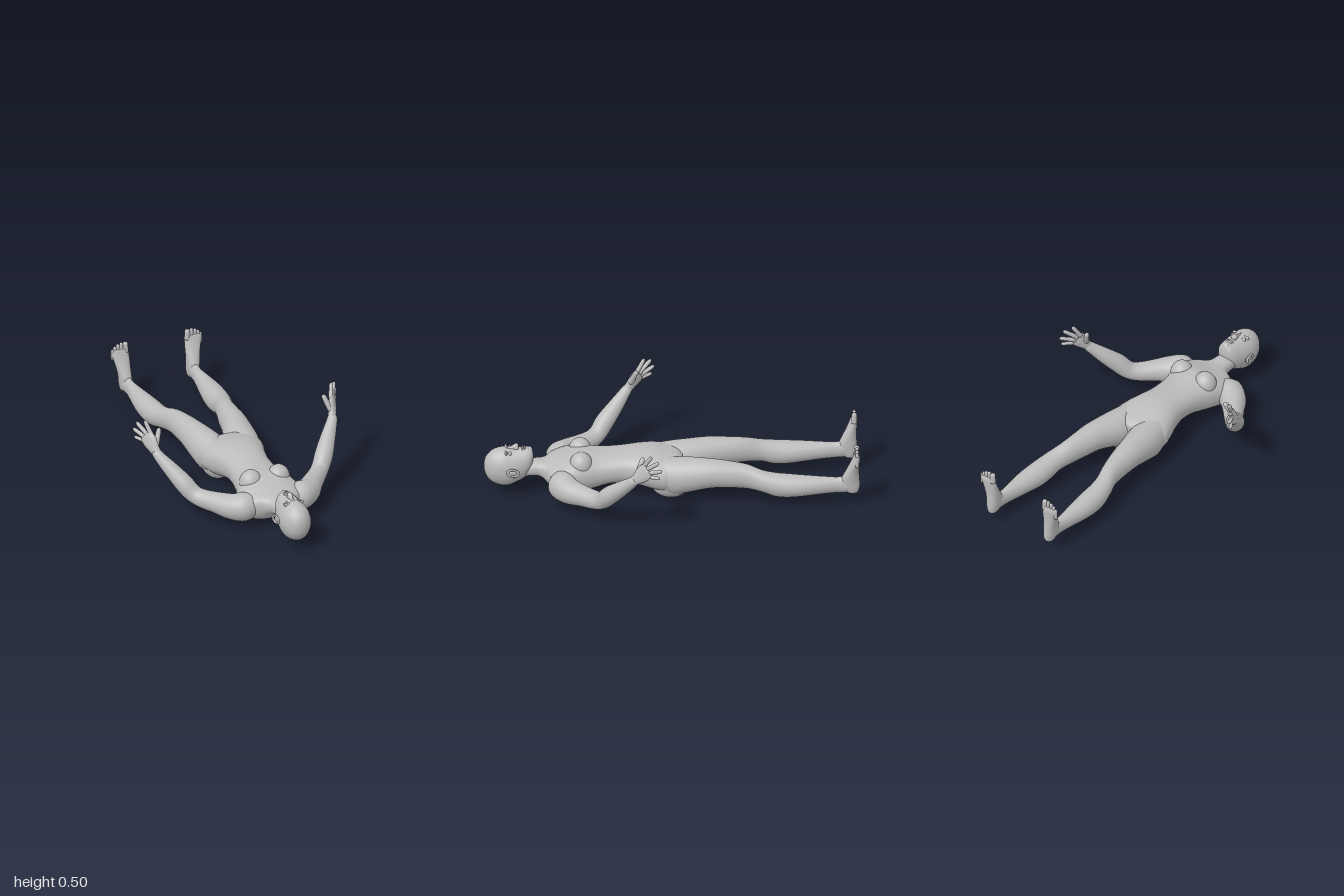
import * as THREE from 'three';

const V = (x, y, z) => new THREE.Vector3(x, y, z);

// Catmull-Rom resampling of rows of numbers
function resample(rows, steps) {
  const out = [];
  const at = (i) => rows[Math.min(rows.length - 1, Math.max(0, i))];
  for (let i = 0; i < rows.length - 1; i++) {
    for (let k = 0; k < steps; k++) {
      const t = k / steps;
      out.push(rows[i].map((_, c) => {
        const [a, b, d, e] = [at(i - 1)[c], at(i)[c], at(i + 1)[c], at(i + 2)[c]];
        return 0.5 * (2 * b + (d - a) * t + (2 * a - 5 * b + 4 * d - e) * t * t + (3 * b - a - 3 * d + e) * t * t * t);
      }));
    }
  }
  out.push(rows[rows.length - 1]);
  return out;
}

// Closed smooth skin through elliptical rings; row = centre, u axis, v axis (9 numbers)
function loft(rows, seg = 28, steps = 4, power = 1) {
  const rings = resample(rows, steps);
  const pos = [], idx = [];
  const bend = (n) => Math.sign(n) * Math.abs(n) ** power;
  for (const r of rings) {
    for (let j = 0; j < seg; j++) {
      const a = (j / seg) * Math.PI * 2, c = bend(Math.cos(a)), s = bend(Math.sin(a));
      for (let k = 0; k < 3; k++) pos.push(r[k] + r[3 + k] * c + r[6 + k] * s);
    }
  }
  const m = rows[rows.length >> 1], p = rows[(rows.length >> 1) - 1];
  const dir = V(m[0] - p[0], m[1] - p[1], m[2] - p[2]);
  const flip = V(m[3], m[4], m[5]).cross(V(m[6], m[7], m[8])).dot(dir) < 0;
  const tri = (a, b, c) => (flip ? idx.push(a, c, b) : idx.push(a, b, c));
  const last = rings.length - 1, start = rings.length * seg;
  for (let i = 0; i < last; i++) {
    for (let j = 0; j < seg; j++) {
      const a = i * seg + j, b = i * seg + ((j + 1) % seg);
      tri(a, b, a + seg);
      tri(b, b + seg, a + seg);
    }
  }
  pos.push(...rings[0].slice(0, 3), ...rings[last].slice(0, 3));
  for (let j = 0; j < seg; j++) {
    const n = (j + 1) % seg;
    tri(start, n, j);
    tri(start + 1, last * seg + j, last * seg + n);
  }
  const g = new THREE.BufferGeometry();
  g.setAttribute('position', new THREE.Float32BufferAttribute(pos, 3));
  g.setIndex(idx);
  g.computeVertexNormals();
  return g;
}

// Rings across z: [z, centre x, half width, bottom y, top y]
const alongZ = (rows, s = 1) => rows.map(([z, x, w, b, t]) => [s * x, (b + t) / 2, z, w, 0, 0, 0, (t - b) / 2, 0]);
// Rings across y: [y, centre x, half width, back z, front z]
const alongY = (rows, s = 1) => rows.map(([y, x, w, b, f]) => [s * x, y, (b + f) / 2, w, 0, 0, 0, 0, (f - b) / 2]);

// Round rings along a path: [x, y, z, radius]
function alongPath(pts, s = 1) {
  const p = pts.map(([x, y, z]) => V(s * x, y, z));
  return pts.map((q, i) => {
    const t = p[Math.min(i + 1, p.length - 1)].clone().sub(p[Math.max(i - 1, 0)]).normalize();
    const u = t.clone().cross(V(s * 0.78, 0.11, 0.62)).normalize();
    const v = t.clone().cross(u);
    return [...p[i].toArray(), ...u.multiplyScalar(q[3]).toArray(), ...v.multiplyScalar(q[3]).toArray()];
  });
}

// Tapered, round-tipped finger or toe from a to b
function digit(a, b, r, s) {
  const profile = [[0, 1], [0.45, 0.95], [0.8, 0.88], [0.93, 0.65], [1, 0.15]];
  const rows = profile.map(([t, k]) => [...a.map((n, i) => n + (b[i] - n) * t), r * k]);
  return loft(alongPath(rows, s), 12, 3);
}

export function createModel() {
  const model = new THREE.Group();
  model.name = 'lyingFigure';
  const skin = new THREE.MeshStandardMaterial({ color: 0xbcbcbc });
  skin.name = 'plain grey';
  const add = (name, geometry) => {
    const mesh = new THREE.Mesh(geometry, skin);
    mesh.name = name;
    model.add(mesh);
    return mesh;
  };
  const ball = (name, c, r) => {
    const mesh = add(name, new THREE.SphereGeometry(1, 28, 20));
    mesh.position.set(...c);
    mesh.scale.set(...r);
    return mesh;
  };

  // Neck and torso
  add('torso', loft(alongZ([
    [0.82, 0, 0.048, 0.10, 0.19], [0.74, 0, 0.054, 0.11, 0.197], [0.7, 0, 0.06, 0.105, 0.197],
    [0.67, 0, 0.09, 0.085, 0.197], [0.64, 0, 0.15, 0.055, 0.203], [0.6, 0, 0.178, 0.032, 0.215],
    [0.55, 0, 0.178, 0.027, 0.235], [0.5, 0, 0.163, 0.03, 0.25], [0.45, 0, 0.148, 0.04, 0.25],
    [0.4, 0, 0.134, 0.053, 0.245], [0.33, 0, 0.125, 0.072, 0.245], [0.25, 0, 0.125, 0.076, 0.252],
    [0.17, 0, 0.142, 0.062, 0.259], [0.1, 0, 0.165, 0.045, 0.255], [0.03, 0, 0.178, 0.04, 0.242],
    [-0.03, 0, 0.14, 0.055, 0.228], [-0.06, 0, 0.06, 0.09, 0.205],
  ]), 40, 4, 0.88));

  // Head and face
  add('head', loft(alongZ([
    [1.0, 0, 0.012, 0.15, 0.18], [0.993, 0, 0.032, 0.12, 0.21], [0.975, 0, 0.054, 0.09, 0.237],
    [0.945, 0, 0.073, 0.066, 0.26], [0.9, 0, 0.083, 0.052, 0.272], [0.86, 0, 0.082, 0.056, 0.269],
    [0.83, 0, 0.077, 0.07, 0.268], [0.79, 0, 0.068, 0.092, 0.27], [0.76, 0, 0.055, 0.125, 0.27],
    [0.744, 0, 0.038, 0.165, 0.26], [0.737, 0, 0.014, 0.2, 0.235],
  ]), 36));
  add('nose', loft(alongZ([
    [0.885, 0, 0.006, 0.255, 0.272], [0.86, 0, 0.008, 0.25, 0.279], [0.838, 0, 0.012, 0.25, 0.292],
    [0.825, 0, 0.016, 0.25, 0.297], [0.815, 0, 0.012, 0.255, 0.285],
  ]), 16));
  ball('upperLip', [0, 0.268, 0.795], [0.021, 0.011, 0.006]);
  ball('lowerLip', [0, 0.268, 0.784], [0.019, 0.011, 0.006]);
  ball('chin', [0, 0.254, 0.757], [0.023, 0.02, 0.016]);

  for (const s of [1, -1]) {
    const side = s > 0 ? 'left' : 'right';
    ball(side + 'Eye', [s * 0.035, 0.254, 0.862], [0.015, 0.011, 0.008]);
    ball(side + 'Brow', [s * 0.034, 0.257, 0.883], [0.024, 0.011, 0.007]);

    // Ear: flattened bowl with a raised rim
    ball(side + 'Ear', [s * 0.083, 0.162, 0.845], [0.008, 0.018, 0.027]);
    const rim = add(side + 'EarRim', new THREE.TorusGeometry(0.022, 0.006, 10, 28));
    rim.position.set(s * 0.089, 0.162, 0.848);
    rim.rotation.y = Math.PI / 2 - s * 0.2;
    rim.scale.set(1.3, 0.9, 1);

    ball(side + 'Breast', [s * 0.08, 0.205, 0.485], [0.062, 0.07, 0.062]);
    ball(side + 'Buttock', [s * 0.076, 0.092, 0.005], [0.08, 0.088, 0.11]);

    // Leg from hip to heel
    add(side + 'Leg', loft(alongZ([
      [0.1, 0.09, 0.065, 0.08, 0.225], [0, 0.093, 0.09, 0.035, 0.237], [-0.07, 0.098, 0.094, 0.045, 0.241],
      [-0.2, 0.121, 0.076, 0.08, 0.243], [-0.3, 0.133, 0.065, 0.086, 0.235], [-0.4, 0.149, 0.053, 0.085, 0.222],
      [-0.48, 0.172, 0.055, 0.075, 0.197], [-0.55, 0.182, 0.061, 0.054, 0.185], [-0.62, 0.186, 0.064, 0.051, 0.178],
      [-0.7, 0.19, 0.058, 0.058, 0.172], [-0.8, 0.192, 0.042, 0.068, 0.166], [-0.88, 0.193, 0.029, 0.073, 0.163],
      [-0.93, 0.195, 0.031, 0.075, 0.172], [-0.97, 0.195, 0.028, 0.085, 0.165],
    ], s), 32));

    // Foot, toes pointing up
    add(side + 'Foot', loft(alongY([
      [0.07, 0.195, 0.012, -0.975, -0.945], [0.08, 0.195, 0.024, -0.99, -0.925], [0.11, 0.195, 0.031, -0.998, -0.905],
      [0.15, 0.196, 0.034, -0.997, -0.898], [0.2, 0.2, 0.038, -0.994, -0.92], [0.25, 0.206, 0.045, -0.996, -0.945],
      [0.285, 0.211, 0.049, -0.999, -0.96], [0.307, 0.212, 0.045, -0.996, -0.968], [0.313, 0.212, 0.03, -0.99, -0.974],
    ], s), 24, 4, 0.9));
    [[0.178, 0.347, 0.016], [0.202, 0.348, 0.0115], [0.222, 0.342, 0.011], [0.239, 0.331, 0.0105], [0.253, 0.316, 0.01]]
      .forEach(([x, y, r], i) => add(side + 'Toe' + (i + 1),
        digit([x, y - 0.06, -0.981], [x + 0.002, y, -0.982], r, s)));

    // Arm from shoulder to wrist
    add(side + 'Arm', loft(alongPath([
      [0.09, 0.13, 0.585, 0.055], [0.16, 0.125, 0.588, 0.078], [0.22, 0.12, 0.55, 0.07], [0.28, 0.123, 0.48, 0.057],
      [0.335, 0.128, 0.415, 0.05], [0.37, 0.148, 0.378, 0.048], [0.405, 0.195, 0.342, 0.05], [0.45, 0.255, 0.287, 0.042],
      [0.49, 0.308, 0.24, 0.032], [0.508, 0.335, 0.217, 0.027], [0.514, 0.347, 0.207, 0.02],
    ], s), 28));

    // Palm: flattened rings, [centre, half breadth, half thickness]
    const palm = [[[0.503, 0.328, 0.223], 0.024, 0.022], [[0.515, 0.355, 0.2], 0.032, 0.021],
      [[0.525, 0.382, 0.178], 0.043, 0.019], [[0.534, 0.402, 0.16], 0.045, 0.016],
      [[0.542, 0.418, 0.146], 0.038, 0.011], [[0.545, 0.422, 0.142], 0.02, 0.006]];
    add(side + 'Palm', loft(palm.map(([c, w, t]) => [s * c[0], c[1], c[2],
      -0.475 * w * s, 0.745 * w, 0.475 * w, 0.783 * t * s, 0.107 * t, 0.615 * t]), 24));

    // Fingers and thumb: [base, tip, radius]
    [['Thumb', [0.507, 0.372, 0.2], [0.474, 0.46, 0.167], 0.0155],
      ['IndexFinger', [0.519, 0.425, 0.168], [0.541, 0.498, 0.125], 0.0125],
      ['MiddleFinger', [0.53, 0.415, 0.157], [0.573, 0.477, 0.087], 0.0125],
      ['RingFinger', [0.539, 0.399, 0.147], [0.585, 0.433, 0.07], 0.012],
      ['LittleFinger', [0.546, 0.381, 0.138], [0.583, 0.388, 0.083], 0.0105],
    ].forEach(([name, a, b, r]) => add(side + name, digit(a, b, r, s)));
  }
  return model;
}
